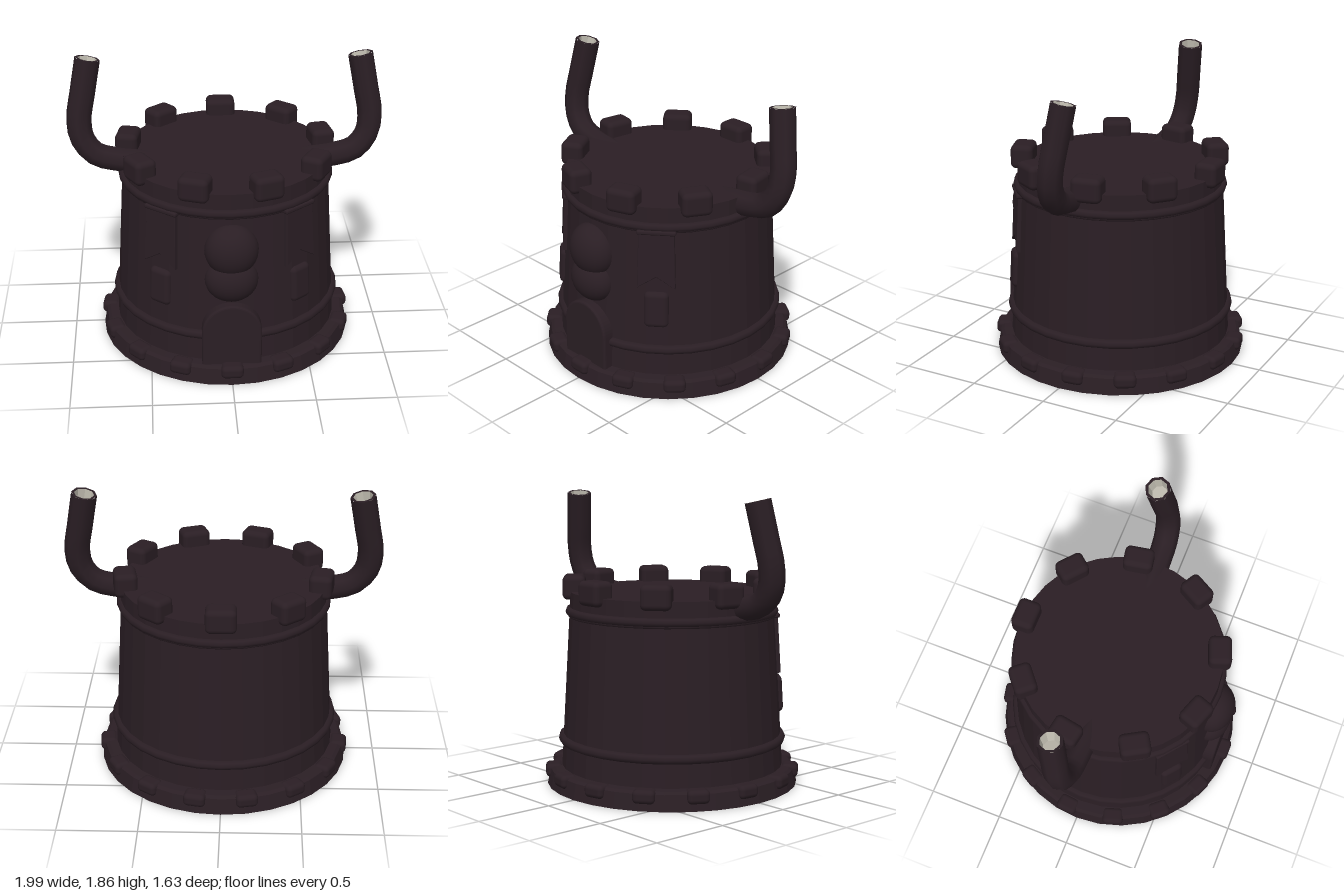
import * as THREE from 'three';
import { RoundedBoxGeometry } from 'three/addons/geometries/RoundedBoxGeometry.js';

const stone = new THREE.MeshStandardMaterial({ color: 0x2a1e24 });
const facetedStone = new THREE.MeshStandardMaterial({ color: 0x2a1e24, flatShading: true });
const hornCore = new THREE.MeshStandardMaterial({ color: 0xbdb9ad, flatShading: true, side: THREE.DoubleSide });

const SIDES = 32;
const wallRadius = (y) => 0.722 - 0.058 * y;

export function createModel() {
  const model = new THREE.Group();

  const add = (name, geometry, material = stone, parent = model) => {
    const mesh = new THREE.Mesh(geometry, material);
    mesh.name = name;
    parent.add(mesh);
    return mesh;
  };

  // Tower body with a solid roof, standing on a wide foot
  const lathe = (points) =>
    new THREE.LatheGeometry(points.map(([r, y]) => new THREE.Vector2(r, y)), SIDES);
  add('towerBody', lathe([[wallRadius(0.08), 0.08], [wallRadius(1.1), 1.1], [0.652, 1.24], [0, 1.24]]), facetedStone);
  add('foot', lathe([[0, 0], [0.81, 0], [0.79, 0.1], [0.77, 0.115], [0.7, 0.12]]), facetedStone);

  // Raised bands around the wall
  const band = (name, y, radius, thickness) => {
    const mesh = add(name, new THREE.TorusGeometry(radius, thickness, 8, SIDES));
    mesh.rotation.x = Math.PI / 2;
    mesh.position.y = y;
  };
  band('lowerBand', 0.295, 0.705, 0.03);
  band('upperBand', 1.115, 0.655, 0.028);
  band('upperBandLip', 1.092, 0.652, 0.016);

  // Rings of rounded blocks: battlements and foot stones
  const blockRing = (name, count, start, radius, y, size, round) => {
    const geometry = new RoundedBoxGeometry(...size, 3, round);
    for (let i = 0; i < count; i++) {
      const angle = start + (i / count) * Math.PI * 2;
      const block = add(name, geometry);
      block.position.set(Math.sin(angle) * radius, y, Math.cos(angle) * radius);
      block.rotation.y = angle;
    }
  };
  blockRing('battlement', 9, Math.PI, 0.625, 1.265, [0.19, 0.155, 0.145], 0.035);
  blockRing('footStone', 15, 0, 0.765, 0.085, [0.14, 0.085, 0.11], 0.03);

  // Arched door
  const arch = new THREE.Shape();
  arch.moveTo(-0.17, 0.1);
  arch.lineTo(0.17, 0.1);
  arch.lineTo(0.17, 0.34);
  arch.absarc(0, 0.34, 0.17, 0, Math.PI, false);
  arch.closePath();
  const door = add('door', new THREE.ExtrudeGeometry(arch, {
    depth: 0.12, curveSegments: 14, bevelSize: 0.015, bevelThickness: 0.015, bevelSegments: 3,
  }));
  door.position.z = 0.612;

  // Two overlapping rounded bulges above the door
  const bulge = (name, y, halfHeight, z, halfDepth) => {
    const mesh = add(name, new THREE.SphereGeometry(1, 24, 16));
    mesh.scale.set(0.165, halfHeight, halfDepth);
    mesh.position.set(0, y, z);
  };
  bulge('upperBulge', 0.875, 0.17, 0.655, 0.13);
  bulge('lowerBulge', 0.675, 0.15, 0.655, 0.123);

  // Swallow-tailed banner and window on each front quarter
  const tail = new THREE.Shape([
    [-0.105, 0.37], [-0.115, 0], [0, 0.075], [0.115, 0], [0.105, 0.37],
  ].map(([x, y]) => new THREE.Vector2(x, y)));
  const bannerGeometry = new THREE.ExtrudeGeometry(tail, {
    depth: 0.03, bevelSize: 0.004, bevelThickness: 0.004, bevelSegments: 1,
  });
  const windowGeometry = new RoundedBoxGeometry(0.155, 0.24, 0.07, 3, 0.034);
  const barGeometry = new RoundedBoxGeometry(0.24, 0.03, 0.05, 2, 0.012);
  for (const side of [-1, 1]) {
    const panel = new THREE.Group();
    panel.name = side > 0 ? 'leftWallPanel' : 'rightWallPanel';
    panel.rotation.y = side * 0.68;
    model.add(panel);
    const place = (name, geometry, y, offset) => {
      const mesh = add(name, geometry, stone, panel);
      mesh.position.set(0, y, wallRadius(y) + offset);
      mesh.rotation.x = -0.058;
    };
    place('banner', bannerGeometry, 0.72, -0.022);
    place('bannerBar', barGeometry, 1.085, 0);
    place('window', windowGeometry, 0.57, -0.01);
  }

  // Curved horns leaning slightly back, with pale hollow tips
  const path = [[0.42, 1.15], [0.56, 1.175], [0.68, 1.19], [0.82, 1.23], [0.9, 1.33],
    [0.917, 1.46], [0.89, 1.62], [0.85, 1.84]];
  for (const side of [-1, 1]) {
    const horn = new THREE.Group();
    horn.name = side > 0 ? 'leftHorn' : 'rightHorn';
    model.add(horn);
    const curve = new THREE.CatmullRomCurve3(
      path.map(([x, y]) => new THREE.Vector3(side * x, y, -0.13 * (y - 1.19))));
    add('hornShell', new THREE.TubeGeometry(curve, 18, 0.08, 8, false), stone, horn);

    const tip = new THREE.Group();
    tip.name = 'hornTip';
    tip.position.copy(curve.getPoint(1));
    tip.quaternion.setFromUnitVectors(new THREE.Vector3(0, 1, 0), curve.getTangent(1));
    horn.add(tip);
    const rim = add('hornRim', new THREE.RingGeometry(0.062, 0.08, 8), stone, tip);
    rim.rotation.x = -Math.PI / 2;
    const hollow = add('hornHollow', new THREE.CylinderGeometry(0.062, 0.05, 0.08, 8, 1, true), hornCore, tip);
    hollow.position.y = -0.04;
    const floor = add('hornHollowFloor', new THREE.CircleGeometry(0.05, 8), hornCore, tip);
    floor.rotation.x = -Math.PI / 2;
    floor.position.y = -0.08;
  }

  return model;
}
